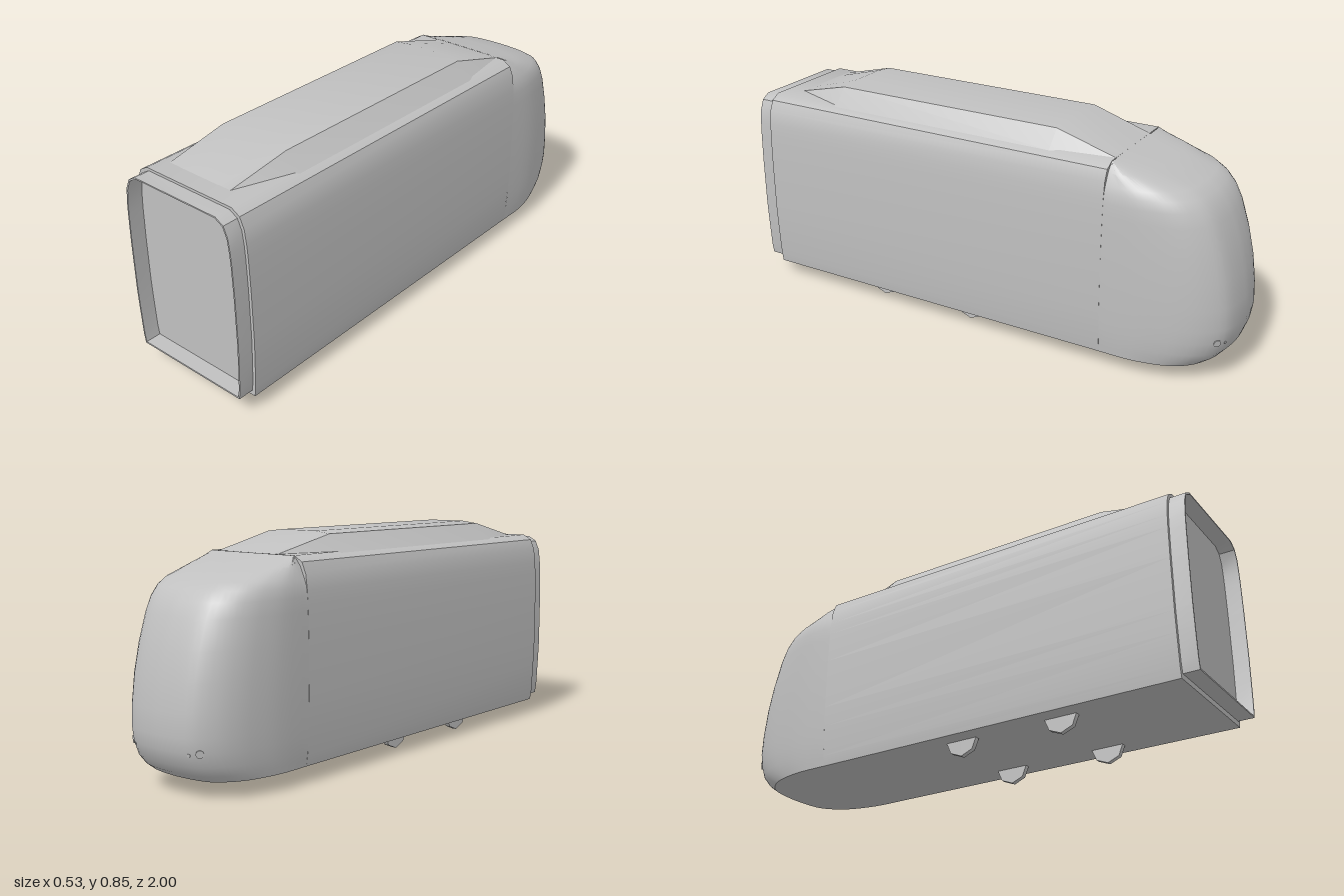
import * as THREE from 'three';
import { toCreasedNormals } from 'three/addons/utils/BufferGeometryUtils.js';

const grey = new THREE.MeshStandardMaterial({ color: 0xc0c0c0, side: THREE.DoubleSide });
grey.name = 'light grey';

// Half cross-section of the car body, from floor to roof
const HALF = [[0.25, 0.06], [0.256, 0.1], [0.262, 0.22], [0.265, 0.3], [0.265, 0.5], [0.262, 0.62],
  [0.259, 0.67], [0.252, 0.725], [0.235, 0.765], [0.2, 0.785]];

// Half cross-section of the raised roof
const ROOF = [[0.21, 0.78], [0.15, 0.845], [0.08, 0.853]];

function mirrored(half) {
  const left = half.map(([x, y]) => new THREE.Vector2(x, y));
  const right = half.map(([x, y]) => new THREE.Vector2(-x, y)).reverse();
  return [...left, ...right];
}

function part(name, geometry, crease = 0.6) {
  const mesh = new THREE.Mesh(toCreasedNormals(geometry, crease), grey);
  mesh.name = name;
  return mesh;
}

// Skin over rows of points, with extra triangles given as point indices
function skin(rows, extra = []) {
  const n = rows[0].length;
  const index = [...extra];
  for (let r = 0; r < rows.length - 1; r++) {
    for (let c = 0; c < n - 1; c++) {
      const a = r * n + c;
      index.push(a, a + 1, a + n, a + 1, a + n + 1, a + n);
    }
  }
  const geometry = new THREE.BufferGeometry();
  geometry.setAttribute('position', new THREE.Float32BufferAttribute(rows.flat(2), 3));
  geometry.setIndex(index);
  return geometry;
}

function makeBody() {
  const geometry = new THREE.ExtrudeGeometry(new THREE.Shape(mirrored(HALF)),
    { depth: 1.48, bevelEnabled: false });
  geometry.translate(0, 0, -0.54);
  return part('body', geometry);
}

// Open frame around the recessed end wall
function makeGangway() {
  const ring = (sx, low, high) => mirrored(HALF.map(([x, y]) =>
    [x * sx, low + (y - 0.06) / 0.725 * (high - low)]));
  const shape = new THREE.Shape(ring(0.955, 0.08, 0.775));
  shape.holes.push(new THREE.Path(ring(0.935, 0.086, 0.77)));
  const geometry = new THREE.ExtrudeGeometry(shape, { depth: 0.06, bevelEnabled: false });
  geometry.translate(0, 0, 0.94);
  return part('gangwayFrame', geometry);
}

// Rounded cab: plan outlines stacked by height
function makeNose() {
  const plan = new THREE.SplineCurve([[1, 0], [1, 0.3], [0.95, 0.52], [0.88, 0.68], [0.76, 0.82],
    [0.56, 0.94], [0.3, 0.985], [0, 1]].map(([x, z]) => new THREE.Vector2(x, z))).getPoints(21);
  const outline = [...plan.map((p) => [p.x, p.y]), ...plan.slice(0, -1).reverse().map((p) => [-p.x, p.y])];
  // height, half width, reach along -z
  const levels = [[0.06, 0.25, 0.91], [0.085, 0.253, 0.945], [0.12, 0.257, 0.975], [0.17, 0.26, 0.993],
    [0.22, 0.262, 1], [0.3, 0.264, 0.995], [0.4, 0.265, 0.98], [0.5, 0.264, 0.955], [0.6, 0.262, 0.92],
    [0.65, 0.26, 0.893], [0.685, 0.255, 0.862], [0.71, 0.246, 0.82], [0.75, 0.228, 0.68], [0.785, 0.2, 0.545]];
  const rows = levels.map(([y, w, reach]) =>
    outline.map(([px, pz]) => [px * w, y, -0.54 - (reach - 0.54) * pz]));
  // Flat underside
  const floor = [];
  for (let i = 1; i < outline.length - 1; i++) floor.push(0, i + 1, i);
  return part('cab', skin(rows, floor));
}

// Raised roof with ramps at both ends
function makeRoof() {
  const full = mirrored(ROOF);
  const flat = full.map((p) => new THREE.Vector2(p.x * 0.8, 0.782));
  const stations = [[-0.55, flat], [-0.3, full], [0.64, full], [0.88, flat]];
  const rows = stations.map(([z, points]) => points.map((p) => [p.x, p.y, z]));
  return part('raisedRoof', skin(rows.reverse()), 0.35);
}

function makeWheel(x, z) {
  const geometry = new THREE.CylinderGeometry(0.065, 0.065, 0.02, 8);
  geometry.rotateZ(Math.PI / 2);
  const wheel = part('wheel', geometry, 1);
  wheel.position.set(x, 0.065, z);
  return wheel;
}

function makeLamp(radius, position, normal) {
  const geometry = new THREE.CylinderGeometry(radius, radius, 0.008, 12);
  const lamp = part('lamp', geometry);
  lamp.position.set(...position);
  lamp.quaternion.setFromUnitVectors(new THREE.Vector3(0, 1, 0), new THREE.Vector3(...normal).normalize());
  return lamp;
}

export function createModel() {
  const model = new THREE.Group();
  model.name = 'railCar';
  model.add(makeBody(), makeGangway(), makeNose(), makeRoof());
  for (const side of [-1, 1]) {
    for (const z of [0.46, 0.05]) model.add(makeWheel(side * 0.175, z));
    model.add(makeLamp(0.014, [side * 0.162, 0.17, -0.951], [side * 0.7, -0.15, -0.7]));
    model.add(makeLamp(0.006, [side * 0.13, 0.165, -0.969], [side * 0.35, -0.15, -0.93]));
  }
  return model;
}
